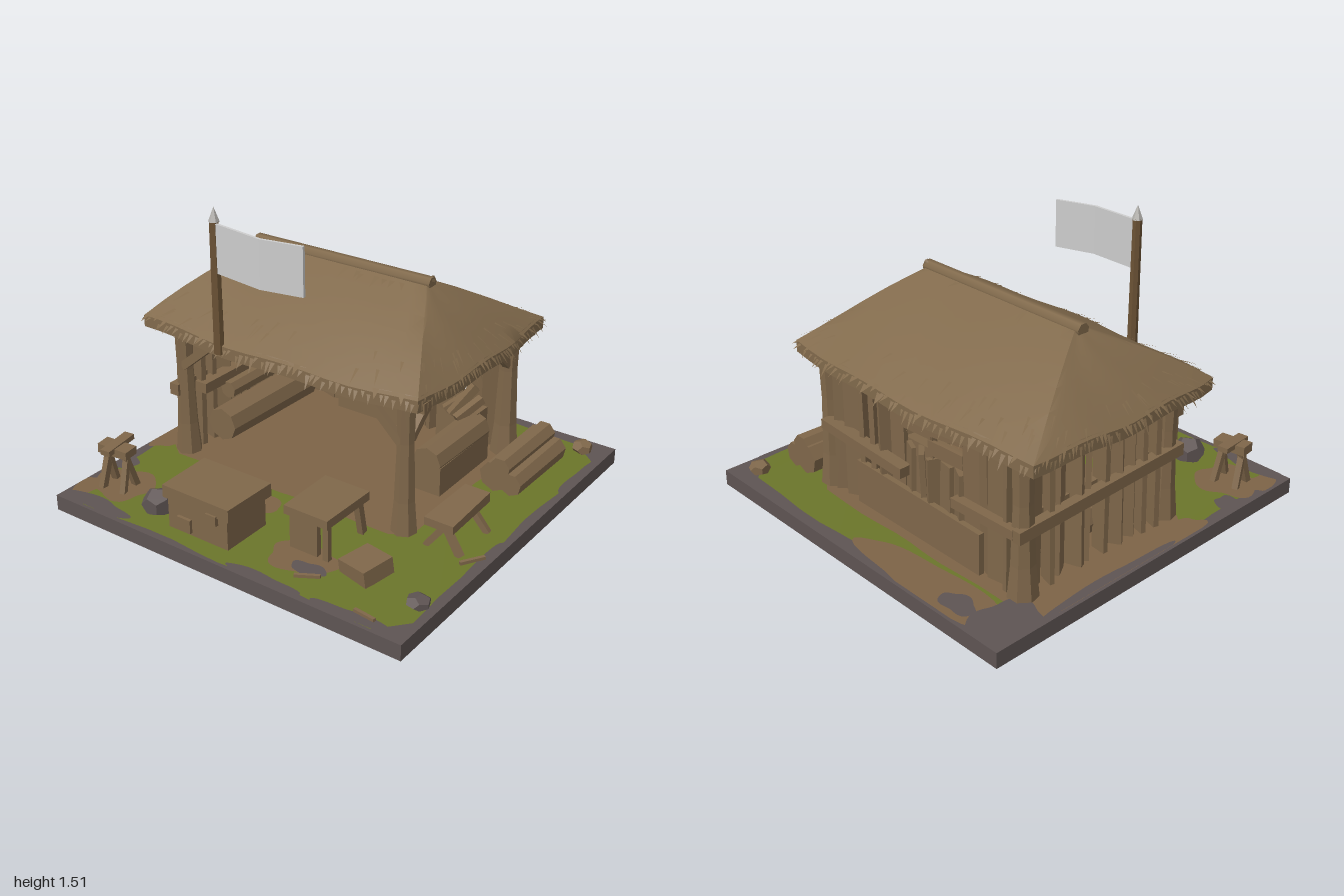
import * as THREE from 'three';
import { toCreasedNormals } from 'three/addons/utils/BufferGeometryUtils.js';

const mat = (name, color, extra = {}) => Object.assign(new THREE.MeshStandardMaterial({ color, ...extra }), { name });

export function createModel() {
  const root = new THREE.Group();
  root.name = 'thatchedHut';
  const wood = mat('wood', 0x7f674a, { flatShading: true });
  const thatch = mat('thatch', 0x816a4c, { side: THREE.DoubleSide });
  const grass = mat('grass', 0x6b752a, { side: THREE.DoubleSide });
  const dirt = mat('dirt', 0x7d6346, { side: THREE.DoubleSide });
  const stone = mat('stone', 0x5e5453, { flatShading: true, side: THREE.DoubleSide });
  const poleWood = mat('poleWood', 0x6b5235, { flatShading: true });
  const cloth = mat('cloth', 0xcdcdcd, { flatShading: true });
  const metal = mat('metal', 0xb4b2ae, { flatShading: true });
  const V = (x, y, z) => new THREE.Vector3(x, y, z);
  const G = 0.087; // ground level

  let seed = 7;
  const rnd = (a = 0, b = 1) => {
    seed = (seed * 16807) % 2147483647;
    return a + (b - a) * (seed / 2147483647);
  };
  const add = (parent, name, geo, m) => {
    const mesh = new THREE.Mesh(geo, m);
    mesh.name = name;
    parent.add(mesh);
    return mesh;
  };
  const group = (name) => {
    const g = new THREE.Group();
    g.name = name;
    root.add(g);
    return g;
  };
  // rough timber: box from a to b whose ends differ slightly in size and skew
  const timber = (parent, name, a, b, w, h, rough = 0.12) => {
    const geo = new THREE.BoxGeometry(w, h, a.distanceTo(b));
    const p = geo.attributes.position;
    const k = [0, 1, 2, 3].map(() => 1 + rnd(-rough, rough));
    for (let i = 0; i < p.count; i++) {
      const e = p.getZ(i) > 0 ? 0 : 2;
      p.setX(i, p.getX(i) * k[e]);
      p.setY(i, p.getY(i) * k[e + 1]);
    }
    const mesh = add(parent, name, geo, wood);
    mesh.position.copy(a).lerp(b, 0.5);
    mesh.lookAt(b);
    return mesh;
  };
  // box given by its extents
  const block = (parent, name, x0, x1, y0, y1, z0, z1) =>
    timber(parent, name, V((x0 + x1) / 2, (y0 + y1) / 2, z0), V((x0 + x1) / 2, (y0 + y1) / 2, z1), x1 - x0, y1 - y0, 0.03);
  const log = (parent, name, a, b, r, sides = 8) => {
    const geo = new THREE.CylinderGeometry(r * 0.93, r, a.distanceTo(b), sides);
    geo.rotateX(Math.PI / 2);
    const mesh = add(parent, name, geo, wood);
    mesh.position.copy(a).lerp(b, 0.5);
    mesh.lookAt(b);
    return mesh;
  };

  // ground slab and its patches
  const ground = group('ground');
  add(ground, 'slab', new THREE.BoxGeometry(2, 0.08, 2), [stone, stone, stone, dirt, stone, stone]).position.y = 0.04;
  const blob = (name, cx, cz, rx, rz, m, y, square = false) => {
    const pts = [];
    const ph = rnd(0, 6);
    for (let i = 0; i < 44; i++) {
      const t = (i / 44) * Math.PI * 2;
      const c = Math.cos(t), s = Math.sin(t);
      let r = 1 + 0.1 * Math.sin(3 * t + ph) + 0.07 * Math.sin(5 * t + ph * 2);
      if (square) r = Math.min(1 / Math.max(Math.abs(c), Math.abs(s)), 1.38) * (1 + 0.012 * Math.sin(9 * t + ph));
      const lim = (v) => THREE.MathUtils.clamp(v, -0.99, 0.99);
      pts.push(new THREE.Vector2(lim(cx + rx * r * c), -lim(cz + rz * r * s)));
    }
    const geo = new THREE.ShapeGeometry(new THREE.Shape(pts));
    geo.rotateX(-Math.PI / 2);
    add(ground, name, geo, m).position.y = y;
  };
  blob('grassCover', 0.005, 0.02, 0.955, 0.955, grass, 0.083, true);
  blob('hutFloor', -0.14, -0.2, 0.74, 0.55, dirt, 0.086, true);
  for (const [x, z, a, b] of [[-0.45, -0.89, 0.46, 0.12], [-0.92, -0.2, 0.1, 0.6], [-0.8, 0.74, 0.16, 0.14],
    [-0.2, 0.5, 0.16, 0.1], [0.3, 0.74, 0.17, 0.12], [-0.93, 0.85, 0.06, 0.1]]) blob('dirtPatch', x, z, a, b, dirt, 0.0875);
  for (const [x, z, a, b] of [[-0.9, -0.85, 0.16, 0.18], [-0.65, -0.9, 0.1, 0.06], [-0.99, -0.3, 0.05, 0.4], [0.3, -1, 0.3, 0.03],
    [-0.95, 0.58, 0.08, 0.06], [-0.78, 0.96, 0.2, 0.06], [0.25, 0.98, 0.2, 0.04], [0.75, 0.98, 0.22, 0.05],
    [0.98, 0.3, 0.03, 0.25], [0.98, -0.6, 0.03, 0.2], [0.38, 0.8, 0.09, 0.05]]) blob('stonePatch', x, z, a, b, stone, 0.089);
  for (const [x, z, a, b] of [[0.75, -0.25, 0.25, 0.2], [-0.85, 0.46, 0.12, 0.2], [0.86, 0.51, 0.12, 0.14]])
    blob('undersideMoss', x, z, a, b, grass, -0.001);
  const rock = (x, z, r, m, sy) => {
    const mesh = add(ground, 'rock', new THREE.DodecahedronGeometry(r), m);
    mesh.position.set(x, G + r * sy * 0.45, z);
    mesh.scale.y = sy;
    mesh.rotation.y = x * 5;
  };
  rock(-0.51, 0.8, 0.085, stone, 0.85);
  rock(0.91, 0.73, 0.06, stone, 0.5);
  rock(0.87, -0.88, 0.055, wood, 0.75);

  // corner posts, flared at the foot
  const frame = group('frame');
  for (const [x, z, r] of [[-0.78, 0.28, 0.05], [0.54, 0.28, 0.048], [-0.79, -0.65, 0.055], [0.54, -0.65, 0.055]]) {
    const profile = [[0, 0.81], [r * 0.95, 0.81], [r * 0.85, 0.55], [r * 1.05, 0.25], [r * 1.35, 0.08], [0, 0.08]];
    const geo = new THREE.LatheGeometry(profile.map((p) => new THREE.Vector2(...p)).reverse(), 7);
    add(frame, 'cornerPost', geo, wood).position.set(x, 0, z);
  }
  timber(frame, 'frontBeam', V(-0.86, 0.785, 0.33), V(0.68, 0.785, 0.33), 0.06, 0.05);
  timber(frame, 'backBeam', V(-0.86, 0.78, -0.66), V(0.66, 0.78, -0.66), 0.05, 0.05);
  timber(frame, 'rightBeam', V(0.57, 0.775, 0.36), V(0.57, 0.775, -0.72), 0.05, 0.05);
  timber(frame, 'leftBeam', V(-0.8, 0.775, 0.36), V(-0.8, 0.775, -0.72), 0.05, 0.05);
  for (const [a, b] of [[V(-0.77, 0.57, 0.3), V(-0.54, 0.76, 0.31)], [V(0.53, 0.55, 0.3), V(0.32, 0.76, 0.31)],
    [V(0.55, 0.56, 0.26), V(0.55, 0.77, 0.02)], [V(0.55, 0.59, -0.62), V(0.55, 0.77, -0.42)]]) timber(frame, 'brace', a, b, 0.035, 0.04);

  // plank walls, with a window gap at the back
  const walls = group('walls');
  for (let x = -0.72; x < 0.52; x += 0.083) {
    const open = x > -0.42 && x < -0.05;
    timber(walls, 'backPlank', V(x, 0.08, -0.65 + rnd(-0.012, 0.012)), V(x + rnd(-0.01, 0.01), open ? 0.53 : 0.8, -0.65), 0.086, 0.025);
  }
  for (let z = -0.58; z < 0.26; z += 0.085)
    timber(walls, 'leftPlank', V(-0.78 + rnd(-0.012, 0.012), 0.08, z), V(-0.77, 0.8, z + rnd(-0.01, 0.01)), 0.025, 0.088);
  timber(walls, 'windowPost', V(-0.215, 0.5, -0.65), V(-0.205, 0.8, -0.65), 0.03, 0.03);
  timber(walls, 'windowSlat', V(-0.43, 0.69, -0.66), V(-0.2, 0.665, -0.66), 0.02, 0.05);
  timber(walls, 'windowSlat', V(-0.43, 0.59, -0.66), V(-0.2, 0.58, -0.66), 0.02, 0.08);
  timber(walls, 'windowSlat', V(-0.22, 0.645, -0.66), V(-0.03, 0.64, -0.66), 0.02, 0.05);
  timber(walls, 'backSkirting', V(-0.56, 0.19, -0.68), V(0.3, 0.2, -0.68), 0.03, 0.22);
  timber(walls, 'backRail', V(-0.06, 0.4, -0.69), V(0.52, 0.44, -0.7), 0.06, 0.05);
  timber(walls, 'backRail', V(-0.8, 0.42, -0.7), V(-0.4, 0.4, -0.69), 0.05, 0.05);
  timber(walls, 'leftRail', V(-0.82, 0.42, -0.72), V(-0.81, 0.44, 0.34), 0.05, 0.055);
  timber(walls, 'innerRail', V(-0.73, 0.42, -0.58), V(-0.73, 0.43, 0.23), 0.07, 0.06);

  // furniture and logs inside
  const inside = group('interior');
  log(inside, 'bunkLog', V(-0.65, 0.21, -0.52), V(-0.66, 0.21, 0.16), 0.095);
  log(inside, 'shelfLog', V(-0.68, 0.37, -0.5), V(-0.68, 0.37, 0.08), 0.05, 7);
  block(inside, 'counter', -0.42, 0.02, 0.1, 0.53, -0.62, -0.52);
  block(inside, 'counterShelf', -0.45, 0.05, 0.31, 0.35, -0.62, -0.4);
  block(inside, 'chest', 0.36, 0.52, G, 0.24, -0.52, -0.06);
  log(inside, 'chestLid', V(0.44, 0.25, -0.52), V(0.44, 0.25, -0.06), 0.085);
  for (let i = 0; i < 4; i++)
    timber(inside, 'firewood', V(0.24 + i * 0.05, 0.32, -0.5 + i * 0.03), V(0.34 + i * 0.04, 0.46 - (i % 2) * 0.06, -0.54), 0.04, 0.04);
  block(inside, 'firewoodBin', 0.22, 0.46, G, 0.33, -0.6, -0.5);

  // yard: crate, table, low box, trestles, log pile
  const yard = group('yard');
  block(yard, 'crateBody', -0.36, -0.01, G, 0.25, 0.62, 0.89);
  block(yard, 'crateLid', -0.385, 0.01, 0.24, 0.305, 0.6, 0.9);
  block(yard, 'crateSlat', -0.3, -0.22, 0.1, 0.17, 0.88, 0.905);
  block(yard, 'crateLatch', -0.12, -0.06, 0.2, 0.25, 0.88, 0.91);
  block(yard, 'tableTop', 0.18, 0.425, 0.265, 0.31, 0.4, 0.72);
  block(yard, 'tableFront', 0.2, 0.35, G, 0.28, 0.67, 0.7);
  for (const x of [0.21, 0.395]) timber(yard, 'tableLeg', V(x, G, 0.41), V(x, 0.28, 0.45), 0.03, 0.035);
  timber(yard, 'tableLeg', V(0.4, G, 0.69), V(0.4, 0.28, 0.69), 0.03, 0.03);
  const lowBox = block(yard, 'lowBox', 0.51, 0.68, 0.08, 0.16, 0.58, 0.75);
  lowBox.rotation.set(0.08, -0.25, 0.1);
  const trestle = (name, x, z, len, w, h, turn) => {
    const g = new THREE.Group();
    g.name = name;
    timber(g, 'seat', V(0, h - 0.02, -len / 2), V(0, h - 0.025, len / 2), w, 0.045);
    for (const e of [-1, 1]) for (const s of [-1, 1])
      timber(g, 'leg', V(s * w * 0.65, 0, e * len * 0.36), V(-s * w * 0.2, h - 0.02, e * len * 0.3), 0.03, 0.03);
    g.position.set(x, G - 0.005, z);
    g.rotation.y = turn;
    yard.add(g);
  };
  trestle('bench', 0.775, 0.195, 0.34, 0.14, 0.18, 0);
  trestle('stool', -0.81, 0.76, 0.17, 0.08, 0.23, Math.PI / 2 + 0.12);
  timber(yard, 'stoolPost', V(-0.83, 0.31, 0.65), V(-0.81, 0.3, 0.84), 0.05, 0.03);
  for (const [x, y, r] of [[0.7, 0.165, 0.085], [0.79, 0.15, 0.065], [0.73, 0.22, 0.06]])
    log(yard, 'pileLog', V(x, y, -0.72), V(x, y, -0.26), r, 7);
  for (const [x, z, a] of [[0.36, 0.88, 0.4], [0.72, 0.93, -0.2], [0.9, 0.38, 0.9]])
    timber(yard, 'stick', V(x, G + 0.01, z), V(x + 0.12 * Math.cos(a), G + 0.02, z - 0.12 * Math.sin(a)), 0.015, 0.015);

  // thatched hip roof: rings run from the underside ridge out to the eave and back up
  const roof = group('roof');
  const corners = [[-0.94, 0.385], [0.67, 0.395], [0.67, -0.74], [-0.94, -0.74]];
  const out = [[0, 1], [1, 0], [0, -1], [-1, 0]];
  const N = 14;
  const surface = (u, t, drop = 0) => {
    const k = Math.floor(u) % 4, s = u - Math.floor(u);
    const [ax, az] = corners[k], [bx, bz] = corners[(k + 1) % 4];
    const bulge = 0.05 * Math.sin(Math.PI * s) * (k % 2 ? 0.6 : 1);
    const ex = ax + (bx - ax) * s + out[k][0] * bulge, ez = az + (bz - az) * s + out[k][1] * bulge;
    const rx = k === 0 ? -0.6 + 0.96 * s : k === 1 ? 0.36 : k === 2 ? 0.36 - 0.96 * s : -0.6;
    const y = 0.83 + 0.315 * t + 0.015 * Math.sin(Math.PI * t) + 0.008 * Math.sin(u * 14 + t * 5) * (1 - t);
    return V(ex + (rx - ex) * t, y - drop, ez + (-0.15 - ez) * t);
  };
  const rows = [];
  for (let j = 6; j >= 0; j--) rows.push([j / 6, 0.06]);
  for (let j = 0; j <= 6; j++) rows.push([j / 6, 0]);
  const pos = [], idx = [], W = 4 * N;
  for (const [t, drop] of rows) for (let i = 0; i < W; i++) pos.push(...surface(i / N, t, drop).toArray());
  for (let j = 0; j < rows.length - 1; j++) for (let i = 0; i < W; i++) {
    const a = j * W + i, b = j * W + ((i + 1) % W);
    idx.push(a, b, b + W, a, b + W, a + W);
  }
  const roofGeo = new THREE.BufferGeometry();
  roofGeo.setAttribute('position', new THREE.Float32BufferAttribute(pos, 3));
  roofGeo.setIndex(idx);
  add(roof, 'thatchCover', toCreasedNormals(roofGeo, 0.7), thatch);

  // loose straw: slivers hanging at the eave and lifting off the slopes
  const straw = [];
  const sliver = (u, t, len, width, lift) => {
    const a = surface(u, t), b = surface(u + width, t);
    const down = surface(u, 0).sub(surface(u, 0.4)).normalize();
    const tip = a.clone().lerp(b, rnd()).addScaledVector(down, len);
    tip.y += lift;
    straw.push(...a.toArray(), ...tip.toArray(), ...b.toArray());
  };
  for (let i = 0; i < 200; i++) sliver((i / 200) * 3.99, 0.03, rnd(0.04, 0.075), 0.022, rnd(-0.055, 0.005));
  for (let i = 0; i < 90; i++) sliver(rnd(0, 3.95), rnd(0.08, 0.3), rnd(0.06, 0.11), 0.012, rnd(0.006, 0.02));
  for (let i = 0; i < 20; i++) sliver(rnd(0, 3.95), rnd(0.9, 0.97), rnd(0.05, 0.1), 0.03, rnd(0.01, 0.025));
  const strawGeo = new THREE.BufferGeometry();
  strawGeo.setAttribute('position', new THREE.Float32BufferAttribute(straw, 3));
  strawGeo.computeVertexNormals();
  add(roof, 'looseStraw', strawGeo, thatch);
  const ridge = log(roof, 'ridgeCap', V(-0.64, 1.13, -0.15), V(0.39, 1.135, -0.15), 0.035, 7);
  ridge.material = thatch;
  log(roof, 'ridgeTip', V(0.28, 1.12, -0.15), V(0.39, 1.155, -0.16), 0.018, 5).material = thatch;

  // flagpole and folded cloth
  const flag = group('flag');
  add(flag, 'pole', new THREE.CylinderGeometry(0.023, 0.026, 0.66, 7), poleWood).position.set(-0.42, 1.11, 0.425);
  add(flag, 'poleTip', new THREE.ConeGeometry(0.027, 0.07, 6), metal).position.set(-0.42, 1.47, 0.425);
  const clothGeo = new THREE.BoxGeometry(0.48, 0.24, 0.014, 7, 1, 1);
  const cp = clothGeo.attributes.position;
  for (let i = 0; i < cp.count; i++) {
    const s = cp.getX(i) / 0.48 + 0.5;
    cp.setZ(i, cp.getZ(i) + (s < 0.57 ? 0.43 + 0.04 * s : 0.453 - 0.12 * (s - 0.57)));
    cp.setY(i, cp.getY(i) + 1.31 - 0.015 * s);
    cp.setX(i, cp.getX(i) - 0.17);
  }
  add(flag, 'cloth', clothGeo, cloth);
  return root;
}
